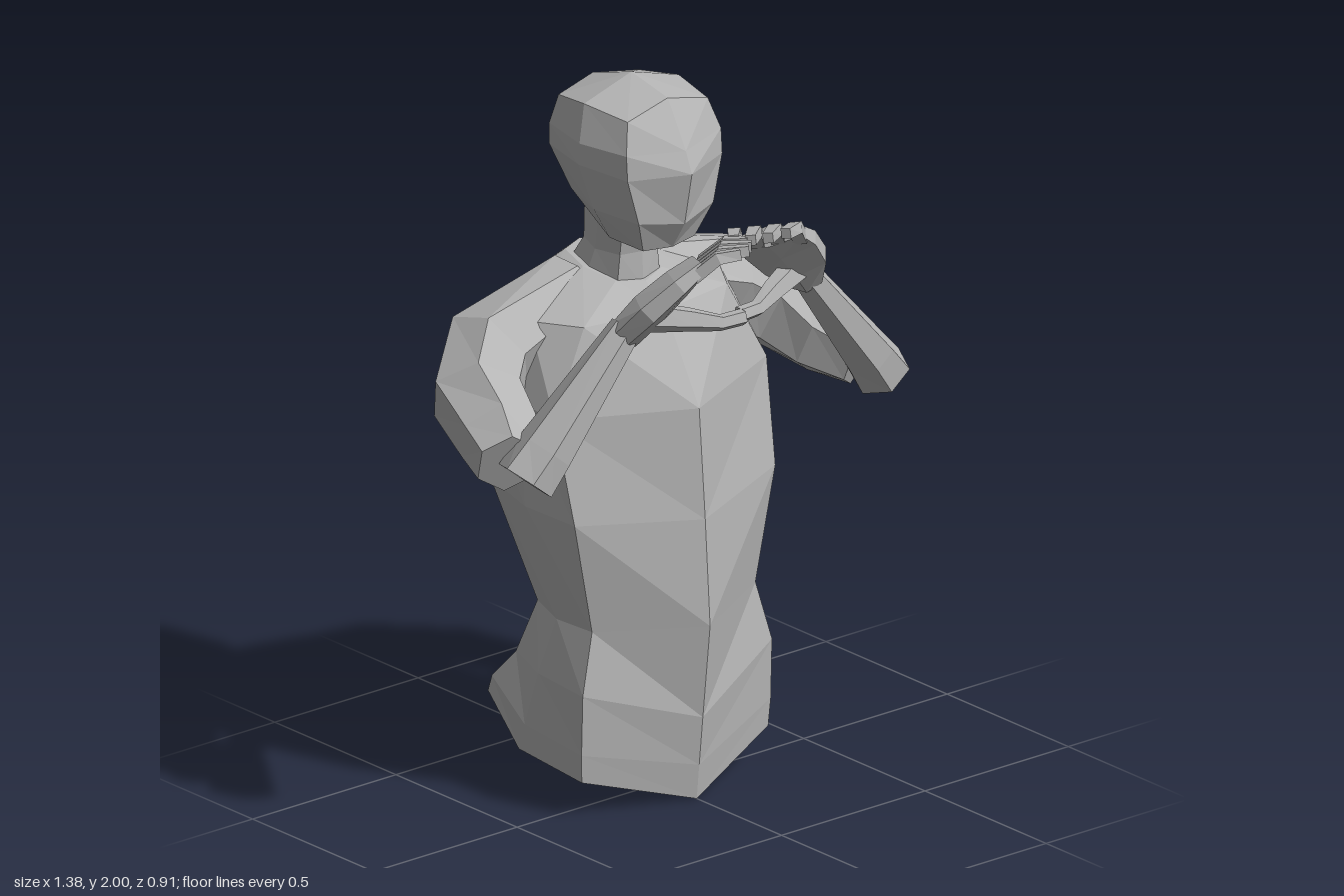
import * as THREE from 'three';

const grey = new THREE.MeshStandardMaterial({ color: 0xb4b4b4, flatShading: true });
grey.name = 'clay grey';

// Closed faceted skin through a stack of rings, each end fanned to a centre point
function loft(name, rings, startTip, endTip) {
  const pos = [];
  const tri = (...corners) => corners.forEach((c) => pos.push(...c));
  const n = rings[0].length;
  const middle = (ring) => [0, 1, 2].map((k) => ring.reduce((sum, p) => sum + p[k], 0) / n);
  const last = rings[rings.length - 1];
  const start = startTip || middle(rings[0]);
  const end = endTip || middle(last);
  for (let i = 0; i < n; i++) {
    const j = (i + 1) % n;
    for (let r = 0; r + 1 < rings.length; r++) {
      const a = rings[r], b = rings[r + 1];
      // The diagonal flips on the second half so both sides match
      if (i < n / 2) {
        tri(a[i], a[j], b[j]);
        tri(a[i], b[j], b[i]);
      } else {
        tri(a[i], a[j], b[i]);
        tri(a[j], b[j], b[i]);
      }
    }
    tri(start, rings[0][j], rings[0][i]);
    tri(end, last[i], last[j]);
  }
  const geo = new THREE.BufferGeometry();
  geo.setAttribute('position', new THREE.Float32BufferAttribute(pos, 3));
  geo.computeVertexNormals();
  const mesh = new THREE.Mesh(geo, grey);
  mesh.name = name;
  return mesh;
}

// Full ring from its left half: front centre, front side, side, back side, back centre
const mirrorRing = (half) => [...half, ...half.slice(1, -1).reverse().map(([x, y, z]) => [-x, y, z])];

// Limb along stations [x, y, z, half width, half thickness]; width lies along the given direction
function limb(name, side, stations, width, sides = 6) {
  const at = (s) => new THREE.Vector3(s[0], s[1], s[2]);
  const rings = stations.map((s, i) => {
    const t = at(stations[Math.min(i + 1, stations.length - 1)]).sub(at(stations[Math.max(i - 1, 0)])).normalize();
    const u = new THREE.Vector3(...width);
    u.addScaledVector(t, -u.dot(t)).normalize();
    const v = t.clone().cross(u);
    const ring = [];
    for (let k = 0; k < sides; k++) {
      const a = ((k + 0.5) / sides) * Math.PI * 2;
      const p = at(s).addScaledVector(u, s[3] * Math.cos(a)).addScaledVector(v, s[4] * Math.sin(a));
      ring.push([p.x * side, p.y, p.z]);
    }
    return side < 0 ? ring.reverse() : ring;
  });
  return loft(name, rings);
}

function makeArm(side) {
  const arm = new THREE.Group();
  arm.name = side > 0 ? 'leftArm' : 'rightArm';

  // Shoulder, upper arm and forearm
  arm.add(limb('upperArm', side, [
    [0.1, 1.4, -0.22, 0.1, 0.06],
    [0.41, 1.27, -0.22, 0.135, 0.145],
    [0.53, 1.2, -0.13, 0.13, 0.135],
    [0.565, 1.14, 0.0, 0.115, 0.115],
    [0.615, 1.1, 0.1, 0.09, 0.095],
  ], [0.3, 0.3, -1]));
  arm.add(limb('forearm', side, [
    [0.62, 1.075, 0.175, 0.09, 0.08],
    [0.56, 1.15, 0.185, 0.088, 0.07],
    [0.31, 1.45, 0.225, 0.048, 0.042],
  ], [0, 0, 1]));

  // Palm, with the right hand reaching slightly further forward
  const reach = side < 0 ? 0.035 : 0;
  const across = [-0.7, -0.12, -0.7];
  arm.add(limb('palm', side, [
    [0.32, 1.43, 0.225, 0.05, 0.045],
    [0.265, 1.5, 0.245 + reach / 2, 0.1, 0.05],
    [0.195, 1.57, 0.265 + reach, 0.118, 0.042],
    [0.135, 1.615, 0.285 + reach, 0.112, 0.03],
  ], across));

  // Four bent fingers, index to little
  for (let i = 0; i < 4; i++) {
    const f = i / 3;
    const longer = i === 1 || i === 2 ? 0.012 : 0;
    arm.add(limb('finger', side, [
      [0.075 + 0.125 * f, 1.59 + 0.02 * f, 0.225 + 0.115 * f + reach, 0.026, 0.024],
      [0.03 + 0.12 * f, 1.645 + 0.02 * f, 0.27 + 0.11 * f + reach, 0.025, 0.023],
      [-0.01 + 0.105 * f - longer, 1.65 + 0.02 * f, 0.315 + 0.09 * f + reach + longer, 0.02, 0.02],
    ], across, 4));
  }

  // Thumb
  arm.add(limb('thumb', side, [
    [0.26, 1.48, 0.25 + reach / 2, 0.045, 0.038],
    [0.15, 1.455, 0.285 + reach / 2, 0.034, 0.03],
    [0.07, 1.435, 0.315 + reach / 2, 0.024, 0.022],
    [0, 1.437, 0.325 + reach / 2, 0.024, 0.022],
  ], [0, 1, 0], 5));
  return arm;
}

export function createModel() {
  const model = new THREE.Group();
  model.name = 'upperBody';

  // Torso from hips to collar
  const torso = [
    [[0, 0, 0.15], [0.325, 0.1, 0.06], [0.325, 0.12, -0.2], [0.31, 0.24, -0.345], [0, 0.17, -0.455]],
    [[0, 0.1, 0.16], [0.33, 0.18, 0.065], [0.33, 0.2, -0.17], [0.305, 0.285, -0.335], [0, 0.22, -0.41]],
    [[0, 0.24, 0.175], [0.33, 0.35, 0.07], [0.325, 0.36, -0.12], [0.28, 0.37, -0.265], [0, 0.29, -0.36]],
    [[0, 0.51, 0.205], [0.285, 0.52, 0.055], [0.295, 0.52, -0.08], [0.26, 0.53, -0.2], [0, 0.53, -0.3]],
    [[0, 0.81, 0.185], [0.35, 0.84, 0.06], [0.388, 0.86, -0.1], [0.34, 0.87, -0.3], [0, 0.88, -0.37]],
    [[0, 1.12, 0.16], [0.37, 1.13, 0], [0.385, 1.15, -0.12], [0.36, 1.17, -0.33], [0, 1.2, -0.405]],
    [[0, 1.36, 0.02], [0.25, 1.36, -0.02], [0.33, 1.36, -0.15], [0.28, 1.37, -0.335], [0, 1.36, -0.375]],
    [[0, 1.42, -0.06], [0.08, 1.43, -0.09], [0.11, 1.45, -0.19], [0.08, 1.46, -0.3], [0, 1.46, -0.335]],
  ];
  model.add(loft('torso', torso.map(mirrorRing), [0, 0.04, -0.25]));

  // Neck
  const neck = [
    [[0, 1.4, -0.07], [0.075, 1.41, -0.09], [0.1, 1.42, -0.19], [0.075, 1.43, -0.29], [0, 1.44, -0.32]],
    [[0, 1.5, -0.075], [0.065, 1.5, -0.09], [0.085, 1.5, -0.17], [0.065, 1.51, -0.24], [0, 1.51, -0.265]],
    [[0, 1.62, -0.05], [0.07, 1.62, -0.07], [0.09, 1.62, -0.15], [0.07, 1.65, -0.23], [0, 1.66, -0.26]],
  ];
  model.add(loft('neck', neck.map(mirrorRing)));

  // Head from chin to crown
  const head = [
    [[0, 1.55, 0.05], [0.09, 1.555, 0.035], [0.11, 1.565, -0.08], [0.08, 1.6, -0.17], [0, 1.6, -0.2]],
    [[0, 1.63, 0.1], [0.13, 1.65, 0.065], [0.165, 1.66, -0.08], [0.11, 1.66, -0.24], [0, 1.66, -0.27]],
    [[0, 1.78, 0.13], [0.165, 1.78, 0.06], [0.2, 1.79, -0.1], [0.16, 1.79, -0.27], [0, 1.8, -0.325]],
    [[0, 1.84, 0.105], [0.165, 1.85, 0.055], [0.198, 1.85, -0.1], [0.16, 1.85, -0.27], [0, 1.86, -0.315]],
    [[0, 1.97, 0.03], [0.14, 1.935, 0.03], [0.165, 1.95, -0.12], [0.14, 1.93, -0.255], [0, 1.95, -0.28]],
  ];
  model.add(loft('head', head.map(mirrorRing), null, [0, 2, -0.12]));

  // Raised arms with the hands meeting in front of the face
  for (const side of [1, -1]) model.add(makeArm(side));
  return model;
}
